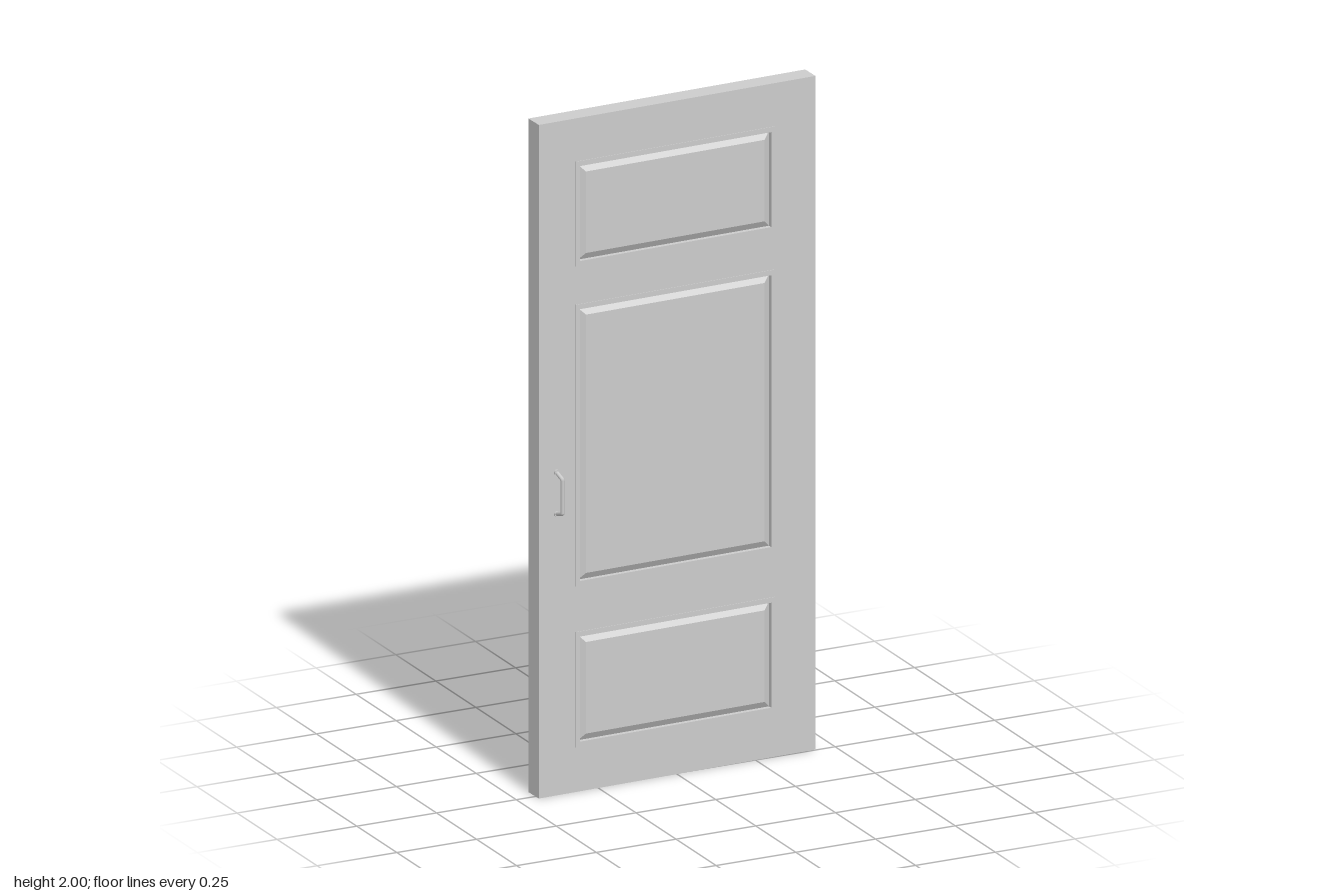
import * as THREE from 'three';

const W = 0.88, H = 2, T = 0.062;       // door size
const RECESS = 0.012, BEVEL = 0.02;     // panel groove depth and bevel width
const PANEL_X = -0.006, PANEL_W = 0.608;
const PANELS = [[1.575, 1.857], [0.625, 1.432], [0.148, 0.46]]; // bottom and top

const grey = new THREE.MeshStandardMaterial({ color: 0xcccccc });

function add(parent, name, geometry, x = 0, y = 0, z = 0) {
  const mesh = new THREE.Mesh(geometry, grey);
  mesh.name = name;
  mesh.position.set(x, y, z);
  parent.add(mesh);
  return mesh;
}

function rect(PathType, cx, cy, w, h) {
  return new PathType([[-1, -1], [1, -1], [1, 1], [-1, 1]].map(
    ([sx, sy]) => new THREE.Vector2(cx + sx * w / 2, cy + sy * h / 2)));
}

const extrude = (shape, depth) => new THREE.ExtrudeGeometry(shape, { depth, bevelEnabled: false });

// Block whose front face is drawn in on all four sides
function bevelledBlock(w, h, d, inset) {
  const g = new THREE.BoxGeometry(w, h, d);
  const p = g.attributes.position;
  for (let i = 0; i < p.count; i++) {
    if (p.getZ(i) > 0) {
      p.setX(i, p.getX(i) - Math.sign(p.getX(i)) * inset);
      p.setY(i, p.getY(i) - Math.sign(p.getY(i)) * inset);
    }
  }
  g.computeVertexNormals();
  return g;
}

export function createModel() {
  const model = new THREE.Group();
  model.name = 'door';
  const leaf = new THREE.Group();
  leaf.name = 'doorLeaf';
  leaf.position.z = -0.023;
  leaf.rotation.y = 0.027; // slightly ajar
  model.add(leaf);

  // Solid core, with a front layer cut out for the panels
  const front = T / 2;
  add(leaf, 'doorCore', new THREE.BoxGeometry(W, H, T - RECESS), 0, H / 2, -RECESS / 2);
  const face = rect(THREE.Shape, 0, H / 2, W, H);
  for (const [lo, hi] of PANELS) {
    face.holes.push(rect(THREE.Path, PANEL_X, (lo + hi) / 2, PANEL_W, hi - lo));
  }
  add(leaf, 'frontFrame', extrude(face, RECESS), 0, 0, front - RECESS);

  // Raised panels and the thin flat moulding around each
  for (const [lo, hi] of PANELS) {
    const cy = (lo + hi) / 2, h = hi - lo;
    add(leaf, 'panel', bevelledBlock(PANEL_W, h, RECESS, BEVEL), PANEL_X, cy, front - RECESS / 2);
    const band = rect(THREE.Shape, 0, 0, PANEL_W + 0.026, h + 0.03);
    band.holes.push(rect(THREE.Path, 0, 0, PANEL_W, h));
    add(leaf, 'panelMoulding', extrude(band, 0.002), PANEL_X, cy, front);
  }

  // Pull handle: slanted arms, straight grip, round feet
  const handle = new THREE.Group();
  handle.name = 'handle';
  handle.position.set(-0.384, 0.898, front);
  leaf.add(handle);
  const pts = [[0.062, 0], [0.05, 0.037], [-0.05, 0.037], [-0.062, 0]].map(
    ([y, z]) => new THREE.Vector3(0, y, z));
  const path = new THREE.CurvePath();
  for (let i = 0; i < 3; i++) path.add(new THREE.LineCurve3(pts[i], pts[i + 1]));
  add(handle, 'grip', new THREE.TubeGeometry(path, 48, 0.006, 12));
  for (const s of [1, -1]) {
    const foot = add(handle, 'handleFoot', new THREE.CylinderGeometry(0.008, 0.008, 0.006, 16), 0, s * 0.062, 0.003);
    foot.rotation.x = Math.PI / 2;
  }
  return model;
}
